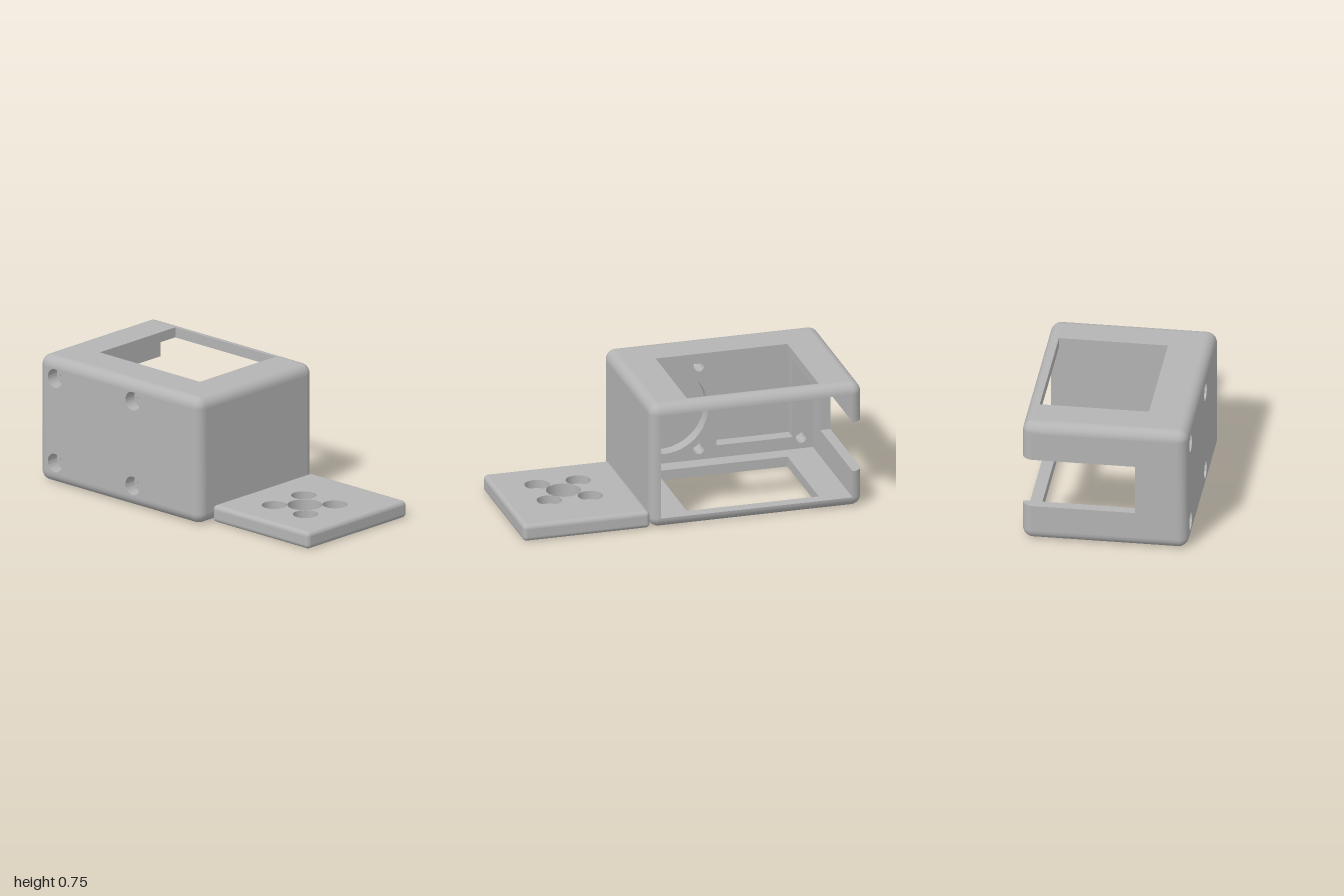
import * as THREE from 'three';
import { toCreasedNormals } from 'three/addons/utils/BufferGeometryUtils.js';

const grey = new THREE.MeshStandardMaterial({ color: 0xb4b4b4 });
grey.name = 'grey plastic';

const AXES = [new THREE.Vector3(1, 0, 0), new THREE.Vector3(0, 1, 0), new THREE.Vector3(0, 0, 1)];

function add(group, name, geometry) {
  const mesh = new THREE.Mesh(geometry, grey);
  mesh.name = name;
  group.add(mesh);
  return mesh;
}

const rect = (u0, u1, v0, v1) => [[u0, v0], [u1, v0], [u1, v1], [u0, v1]];
const toPath = (pts) => new THREE.Path(pts.map(([u, v]) => new THREE.Vector2(u, v)));
const circle = (u, v, r) => new THREE.Path().absarc(u, v, r, 0, Math.PI * 2, true);

// Slab along an axis (0 x, 1 y, 2 z); its outline lies in the next two axes in cyclic order
function slab(group, name, axis, from, to, outline, holes = []) {
  const shape = new THREE.Shape(outline.map(([u, v]) => new THREE.Vector2(u, v)));
  shape.holes.push(...holes);
  const geo = new THREE.ExtrudeGeometry(shape, { depth: to - from, bevelEnabled: false, curveSegments: 24 });
  geo.translate(0, 0, from);
  geo.applyMatrix4(new THREE.Matrix4().makeBasis(AXES[(axis + 1) % 3], AXES[(axis + 2) % 3], AXES[axis]));
  return add(group, name, toCreasedNormals(geo, 0.6));
}

// Quarter-round strips on the 12 edges and sphere octants on the 8 corners of a box
function roundEdges(group, name, min, max, r, gap) {
  for (let axis = 0; axis < 3; axis++) {
    const a = (axis + 1) % 3, b = (axis + 2) % 3;
    for (const sa of [-1, 1]) for (const sb of [-1, 1]) {
      const ca = sa > 0 ? max[a] - r : min[a] + r;
      const cb = sb > 0 ? max[b] - r : min[b] + r;
      const start = Math.atan2(sb, sa) - Math.PI / 4;
      const outline = [[ca, cb]];
      for (let i = 0; i <= 8; i++) {
        const t = start + (i / 8) * Math.PI / 2;
        outline.push([ca + r * Math.cos(t), cb + r * Math.sin(t)]);
      }
      const lo = min[axis] + r, hi = max[axis] - r;
      // The upright edge at the back of the open side may be interrupted
      const interrupted = gap && axis === 1 && sa < 0 && sb > 0;
      const spans = interrupted ? [[lo, gap[0]], [gap[1], hi]] : [[lo, hi]];
      for (const [p, q] of spans) slab(group, name + 'Edge', axis, p, q, outline);
    }
  }
  const quarter = Math.PI / 2;
  for (const sx of [-1, 1]) for (const sy of [-1, 1]) for (const sz of [-1, 1]) {
    const phi = sz > 0 ? (sx > 0 ? quarter : 0) : (sx > 0 ? 2 * quarter : 3 * quarter);
    const geo = new THREE.SphereGeometry(r, 8, 8, phi, quarter, sy > 0 ? 0 : quarter, quarter);
    geo.translate(...[sx, sy, sz].map((s, i) => (s > 0 ? max[i] - r : min[i] + r)));
    add(group, name + 'Corner', geo);
  }
}

function buildHousing() {
  const g = new THREE.Group();
  g.name = 'housing';
  const R = 0.06, X = 0.475, H = 0.75, Z0 = -1, Z1 = 0.255;
  const xi = X - R, y0 = R, y1 = H - R, z0 = Z0 + R, z1 = Z1 - R;
  const slot = [0.22, 0.52];
  roundEdges(g, 'housing', [-X, 0, Z0], [X, H, Z1], R, slot);

  // Roof and floor with large windows
  const window = () => toPath(rect(-0.76, 0.02, -0.22, 0.405));
  slab(g, 'roof', 1, y1, H, rect(z0, z1, -xi, xi), [window()]);
  slab(g, 'floor', 1, 0, R, rect(z0, z1, -xi, xi), [window()]);

  // Front wall, and back wall with a cable slot open to the side
  slab(g, 'frontWall', 2, z1, Z1, rect(-xi, xi, y0, y1));
  const s = -0.175;
  slab(g, 'backWall', 2, Z0, z0, [[-xi, y0], [xi, y0], [xi, slot[0]], [s, slot[0]],
    [s, slot[1]], [xi, slot[1]], [xi, y1], [-xi, y1]]);

  // Thick side wall: outer skin with counterbores, inner layer with pockets
  const bolts = (r) => [0.125, 0.63].flatMap((y) => [-0.265, -0.87].map((z) => circle(y, z, r)));
  slab(g, 'sideWallOuter', 0, -X, -0.4, rect(y0, y1, z0, z1), bolts(0.055));
  slab(g, 'sideWallInner', 0, -0.4, -0.32, rect(y0, y1, z0, z1), [
    ...bolts(0.032), circle(0.375, -0.063, 0.257), toPath(rect(0.135, 0.62, -0.82, -0.37))]);
  return g;
}

function buildPlate() {
  const g = new THREE.Group();
  g.name = 'mountingPlate';
  const r = 0.025, T = 0.1, x0 = -0.365, x1 = 0.455, z0 = 0.25, z1 = 1;
  roundEdges(g, 'plate', [x0, 0, z0], [x1, T, z1], r);

  // Core in two layers, giving stepped screw holes around a centre hole
  const outline = rect(z0 + r, z1 - r, x0 + r, x1 - r);
  const holes = (rad) => [circle(0.63, 0, 0.1),
    ...[0.507, 0.75].flatMap((z) => [-0.122, 0.122].map((x) => circle(z, x, rad)))];
  slab(g, 'plateLower', 1, 0, T / 2, outline, holes(0.043));
  slab(g, 'plateUpper', 1, T / 2, T, outline, holes(0.072));

  // Flat bands between the rounded edges
  for (const x of [x0, x1 - r]) slab(g, 'plateSide', 0, x, x + r, rect(r, T - r, z0 + r, z1 - r));
  for (const z of [z0, z1 - r]) slab(g, 'plateEnd', 2, z, z + r, rect(x0 + r, x1 - r, r, T - r));
  return g;
}

export function createModel() {
  const model = new THREE.Group();
  model.name = 'cameraHousing';
  model.add(buildHousing(), buildPlate());
  return model;
}
